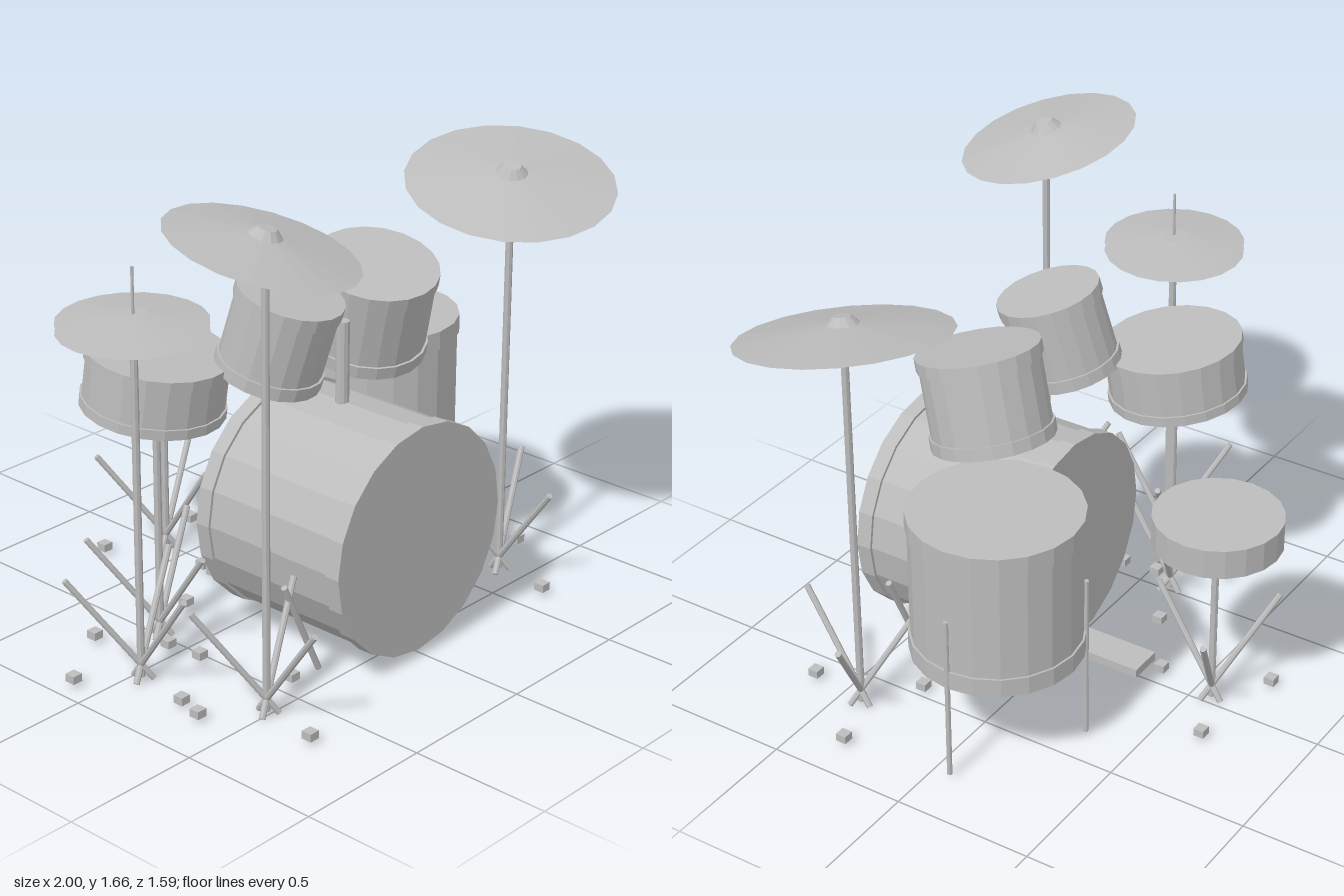
import * as THREE from 'three';

const grey = new THREE.MeshStandardMaterial({ color: 0xbcbcbc, flatShading: true });
grey.name = 'plain grey';

export function createModel() {
  const kit = new THREE.Group();
  kit.name = 'drumKit';

  const add = (parent, name, geometry, x = 0, y = 0, z = 0) => {
    const mesh = new THREE.Mesh(geometry, grey);
    mesh.name = name;
    mesh.position.set(x, y, z);
    parent.add(mesh);
    return mesh;
  };

  const group = (name, x = 0, y = 0, z = 0) => {
    const g = new THREE.Group();
    g.name = name;
    g.position.set(x, y, z);
    kit.add(g);
    return g;
  };

  const cyl = (r, h, sides = 20) => new THREE.CylinderGeometry(r, r, h, sides);

  // Straight rod between two points
  const rod = (parent, name, a, b, r) => {
    const from = new THREE.Vector3(...a), to = new THREE.Vector3(...b);
    const dir = to.clone().sub(from);
    const mesh = add(parent, name, cyl(r, dir.length(), 8));
    mesh.position.copy(from).add(to).multiplyScalar(0.5);
    mesh.quaternion.setFromUnitVectors(new THREE.Vector3(0, 1, 0), dir.normalize());
    return mesh;
  };

  // Drum shell with a hoop at each end, axis along y, centred on its group
  const drum = (name, [x, y, z], r, h, hoopH, lip, tiltX = 0, tiltZ = 0) => {
    const g = group(name, x, y, z);
    g.rotation.set(tiltX, 0, tiltZ);
    add(g, 'shell', cyl(r - lip, h - 0.01));
    for (const s of [1, -1]) add(g, 'hoop', cyl(r, hoopH), 0, s * (h - hoopH) / 2, 0);
    return g;
  };

  // Pole on three splayed legs with loose block feet
  const stand = (name, x, z, top) => {
    const g = group(name, x, 0, z);
    add(g, 'pole', cyl(0.013, top - 0.02, 8), 0, top / 2 + 0.01, 0);
    for (let i = 0; i < 3; i++) {
      const a = -0.15 + i * Math.PI * 2 / 3;
      const dx = Math.sin(a), dz = Math.cos(a);
      rod(g, 'leg', [-0.04 * dx, 0.01, -0.04 * dz], [0.24 * dx, 0.385, 0.24 * dz], 0.011);
      add(g, 'foot', new THREE.BoxGeometry(0.038, 0.028, 0.038), 0.22 * dx, 0.033, 0.22 * dz);
    }
    return g;
  };

  // Shallow cone with a bell on top, tilted about its rim centre
  const cymbal = (name, [x, y, z], r, rise, bell, tiltX = 0, tiltZ = 0) => {
    const g = group(name, x, y, z);
    g.rotation.set(tiltX, 0, tiltZ);
    add(g, 'plate', new THREE.CylinderGeometry(0.05, r, rise, 20), 0, rise / 2, 0);
    if (bell) add(g, 'bell', new THREE.CylinderGeometry(0.03, 0.058, bell, 12), 0, rise + bell / 2 - 0.004, 0);
  };

  // Bass drum, lying along z
  drum('bassDrum', [-0.025, 0.434, 0.292], 0.403, 0.626, 0.055, 0.01, Math.PI / 2);
  for (const s of [1, -1]) {
    rod(kit, 'bassSpur', [-0.025 + s * 0.3, 0.02, 0.43], [-0.025 + s * 0.465, 0.375, 0.43], 0.011);
  }
  add(kit, 'bassPedal', new THREE.BoxGeometry(0.125, 0.032, 0.3), -0.03, 0.036, -0.16);

  // Rack toms and their post
  add(kit, 'tomPost', cyl(0.023, 0.33, 10), -0.025, 0.945, 0.26);
  drum('smallTom', [-0.245, 1.112, 0.182], 0.181, 0.3, 0.045, 0.008, 0.26, -0.1);
  drum('largeTom', [0.202, 1.086, 0.18], 0.212, 0.32, 0.045, 0.008, 0.26, 0.1);

  // Floor tom on three legs
  drum('floorTom', [0.518, 0.635, -0.07], 0.294, 0.53, 0.066, 0.007);
  for (let i = 0; i < 3; i++) {
    const a = i * Math.PI * 2 / 3;
    add(kit, 'floorTomLeg', cyl(0.009, 0.61, 8), 0.518 + 0.29 * Math.cos(a), 0.325, -0.07 + 0.29 * Math.sin(a));
  }

  // Snare
  stand('snareStand', -0.505, -0.122, 0.85);
  drum('snare', [-0.5, 0.945, -0.125], 0.243, 0.205, 0.035, 0.007, 0.12, -0.05);

  // Hi-hat pair
  stand('hiHatStand', -0.757, 0.043, 1.24);
  add(kit, 'hiHatRod', cyl(0.005, 0.3, 8), -0.757, 1.295, 0.043);
  cymbal('hiHatTop', [-0.757, 1.266, 0.04], 0.243, 0.023, 0);
  cymbal('hiHatBottom', [-0.757, 1.234, 0.04], 0.243, 0.02, 0);

  // Crash and ride cymbals
  stand('crashStand', -0.645, 0.497, 1.59);
  cymbal('crashCymbal', [-0.648, 1.587, 0.488], 0.312, 0.04, 0.03, 0.21, -0.155);
  stand('rideStand', 0.645, 0.41, 1.445);
  cymbal('rideCymbal', [0.648, 1.447, 0.405], 0.357, 0.04, 0.03, 0.2, 0.155);

  // Throne
  stand('throneStand', -0.025, -0.575, 0.67);
  add(kit, 'throneSeat', cyl(0.221, 0.105), -0.027, 0.705, -0.578);

  return kit;
}
